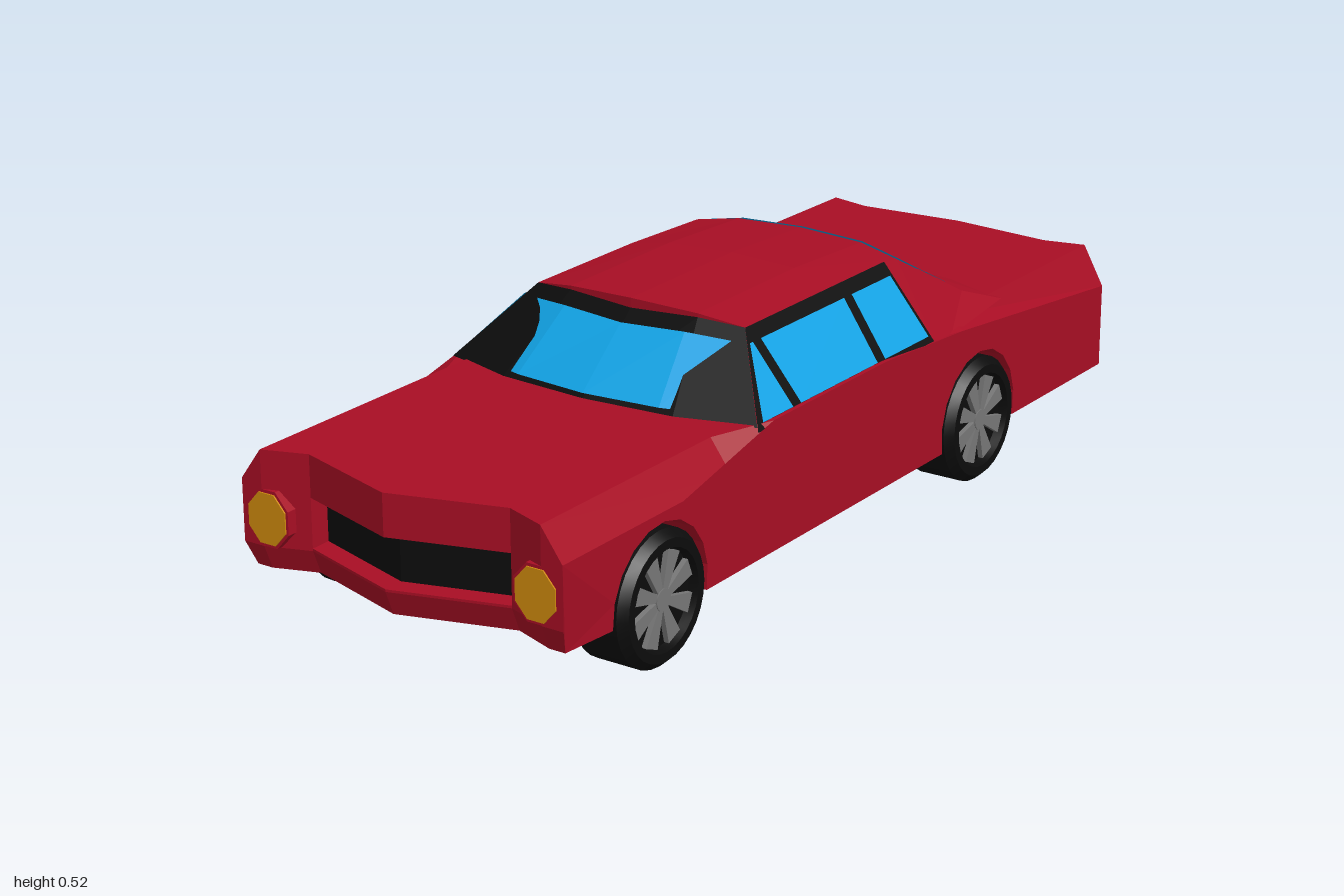
import * as THREE from 'three';
import { toCreasedNormals } from 'three/addons/utils/BufferGeometryUtils.js';

const paint = (name, color, extra = {}) => new THREE.MeshStandardMaterial({ name, color, ...extra });

// Piecewise linear lookup in [[key, value], ...] with rising keys
function lookup(table, t) {
  if (t <= table[0][0]) return table[0][1];
  for (let i = 1; i < table.length; i++) {
    const [k0, v0] = table[i - 1], [k1, v1] = table[i];
    if (t <= k1) return v0 + (v1 - v0) * (t - k0) / (k1 - k0);
  }
  return table[table.length - 1][1];
}

function fromTriangles(points) {
  const g = new THREE.BufferGeometry();
  g.setAttribute('position', new THREE.Float32BufferAttribute(points.flat(), 3));
  g.computeVertexNormals();
  return g;
}

// Sheet through half rows (centre to +x), mirrored to full width
function sheet(halfRows) {
  const rows = halfRows.map(r => [...r.slice(1).reverse().map(([x, y, z]) => [-x, y, z]), ...r]);
  const tri = [];
  for (let i = 0; i + 1 < rows.length; i++)
    for (let j = 0; j + 1 < rows[i].length; j++) {
      const a = rows[i][j], b = rows[i][j + 1], c = rows[i + 1][j + 1], d = rows[i + 1][j];
      tri.push(a, b, c, a, c, d);
    }
  return fromTriangles(tri);
}

// Flat polygon on the +x side, or its mirror image
function panel(pts, side) {
  const p = side > 0 ? pts : pts.map(([x, y, z]) => [-x, y, z]).reverse();
  const tri = [];
  for (let i = 1; i + 1 < p.length; i++) tri.push(p[0], p[i], p[i + 1]);
  return fromTriangles(tri);
}

// Part of the sheet between two rows, narrowed and lifted
function paneRows(low, high, cuts, lift) {
  return cuts.map(([v, narrow]) => low.map((p, i) => {
    const q = p.map((c, k) => c + (high[i][k] - c) * v);
    return [q[0] * narrow, q[1] + 0.004, q[2] + lift];
  }));
}

// Plan outline of nose and tail, and how far the fender edge drops
const NOSE = [[0, 0.995], [0.23, 0.925], [0.32, 0.957], [0.37, 0.957]];
const TAIL = [[0, -1], [0.23, -0.98], [0.32, -1], [0.37, -1]];
const DROP = [[-1, 0.085], [-0.4, 0.02], [-0.1, 0], [0.3, 0], [0.44, 0.065], [1, 0.065]];
const WHEELS = [0.665, -0.47];

// Lengthwise slice of the lower body between two x positions
function bodySlice(x0, x1, { arches, grille, groove }) {
  const top = [0.44, 0.3, -0.1, -0.4].map(z => [z, 0.365]);
  const pts = [[1, 0.365], ...top, [-1, 0.365]];
  if (groove) pts.push([-1, 0.285], [-0.97, 0.275], [-0.97, 0.25], [-1, 0.24]);
  pts.push([-1, 0.1]);
  const arch = (zc, yStart, yEnd) => {
    const r = 0.148, yc = 0.133;
    const a0 = Math.asin((yStart - yc) / r), a1 = Math.asin((yEnd - yc) / r);
    for (let i = 0; i <= 10; i++) {
      const a = Math.PI - a0 + (a0 + a1 - Math.PI) * i / 10;
      pts.push([zc + r * Math.cos(a), yc + r * Math.sin(a)]);
    }
  };
  if (arches) {
    arch(WHEELS[1], 0.1, 0.1);
    arch(WHEELS[0], 0.1, 0.125);
  } else pts.push([0.53, 0.1], [0.8, 0.115]);
  pts.push([0.98, 0.125], [1, 0.175]);
  if (grille) pts.push([1, 0.18], [0.95, 0.18], [0.95, 0.28], [1, 0.28]);

  const shape = new THREE.Shape(pts.map(([z, y]) => new THREE.Vector2(-z, y)));
  const g = new THREE.ExtrudeGeometry(shape, { depth: x1 - x0, bevelEnabled: false });
  g.rotateY(Math.PI / 2).translate(x0, 0, 0);
  const p = g.attributes.position;
  for (let i = 0; i < p.count; i++) {
    const x = p.getX(i), y = p.getY(i), z = p.getZ(i), ax = Math.abs(x);
    if (ax > 0.36) {
      if (y > 0.36) p.setY(i, y - lookup(DROP, z));
      if (y < 0.13 && z > 0.9) p.setX(i, Math.sign(x) * 0.355);
    }
    if (z > 0.9) p.setZ(i, z + lookup(NOSE, ax) - 1);
    if (z < -0.95) p.setZ(i, z + lookup(TAIL, ax) + 1);
  }
  g.computeVertexNormals();
  return g;
}

export function createModel() {
  const car = new THREE.Group();
  car.name = 'car';
  const red = paint('red paint', 0xa80e24);
  const black = paint('black trim', 0x0c0c0c);
  const glass = paint('blue glass', 0x11a2e4, { side: THREE.DoubleSide });
  const amber = paint('amber lamp', 0xd08a0e);
  const grey = paint('grey alloy', 0x777777);
  const add = (name, geometry, material, parent = car) => {
    const m = new THREE.Mesh(geometry, material);
    m.name = name;
    parent.add(m);
    return m;
  };

  // Lower body
  const slices = [[0, 0.23, { grille: true, groove: true }],
    [0.23, 0.32, { arches: true, groove: true }], [0.32, 0.367, { arches: true }]];
  for (const [a, b, opts] of slices) {
    add('leftBody', bodySlice(a, b, opts), red);
    add('rightBody', bodySlice(-b, -a, opts), red);
  }
  add('grille', sheet([0.18, 0.28].map(y => [[0, y, 0.951], [0.23, y, 0.881]])), black);
  add('numberPlate', new THREE.BoxGeometry(0.15, 0.045, 0.012), red).position.set(0, 0.195, -0.996);
  add('underbodySlot', new THREE.BoxGeometry(0.38, 0.006, 0.012), black).position.set(0, 0.099, -0.09);

  // Cabin rows, from windscreen base over the roof to the rear deck
  const screenBase = [[0, 0.365, 0.405], [0.2, 0.365, 0.39], [0.36, 0.362, 0.345]];
  const roofFront = [[0, 0.522, 0.245], [0.15, 0.516, 0.235], [0.245, 0.5, 0.215]];
  const screenTop = roofFront.map(([x, y, z]) => [x, y - 0.02 * (1 - x / 0.245), z]);
  const roofMid = [[0, 0.524, -0.1], [0.15, 0.518, -0.1], [0.245, 0.5, -0.1]];
  const roofBack = [[0, 0.512, -0.355], [0.15, 0.507, -0.35], [0.245, 0.492, -0.335]];
  const rearBase = [[0, 0.4, -0.54], [0.2, 0.4, -0.53], [0.3, 0.39, -0.505]];
  const deck = [[0, 0.364, -0.64], [0.2, 0.364, -0.63], [0.34, 0.355, -0.6]];
  add('windscreenFrame', sheet([screenBase, screenTop]), black);
  add('windscreen', sheet(paneRows(screenBase, screenTop, [[0.04, 0.84], [0.82, 0.89]], 0.004)), glass);
  add('roof', sheet([screenTop, roofFront, roofMid, roofBack, rearBase, deck]), red);
  add('rearWindow', sheet(paneRows(rearBase, roofBack, [[0.08, 0.95], [0.95, 0.96]], -0.003)), glass);

  // Sloping cabin sides: point at height y and length z
  const at = (y, z, out = 0) => [0.36 - (y - 0.362) * 0.833 + out, y, z];
  const pane = (z0, z1, z2, z3) =>
    [at(0.367, z0, 0.004), at(0.367, z1, 0.004), at(0.478, z2, 0.004), at(0.478, z3, 0.004)];
  const panes = [pane(0.325, 0.222, 0.222, 0.232), pane(0.195, -0.08, -0.1, 0.195),
    pane(-0.108, -0.273, -0.273, -0.128)];
  const pillarBase = [0.362, 0.345, -0.36];
  for (const side of [1, -1]) {
    const tag = side > 0 ? 'left' : 'right';
    add(tag + 'WindowFrame', panel([at(0.355, 0.35), at(0.355, -0.285), at(0.5, -0.285), at(0.5, 0.215)], side), black);
    panes.forEach(p => add(tag + 'SideWindow', panel(p, side), glass));
    add(tag + 'RearPillar', panel([at(0.355, -0.285), pillarBase, roofBack[2], at(0.5, -0.285)], side), red);
    add(tag + 'RearQuarter', panel([pillarBase, rearBase[2], roofBack[2]], side), red);
    add(tag + 'DeckCorner', panel([pillarBase, deck[2], rearBase[2]], side), red);

    // Eight-sided headlight in a red surround
    for (const [name, r, len, mat] of [['HeadlightSurround', 1.12, 0.04, red], ['Headlight', 1, 0.046, amber]]) {
      const g = new THREE.CylinderGeometry(0.054 * r, 0.054 * r, len, 8, 1).rotateY(Math.PI / 8).rotateX(Math.PI / 2);
      g.scale(0.88, 1, 1);
      add(tag + name, toCreasedNormals(g, 0.3), mat).position.set(side * 0.308, 0.232, 0.937);
    }
  }

  // Wheels with eight tapered spokes
  const tyreProfile = [[0, -0.065], [0.118, -0.065], [0.133, -0.048], [0.133, 0.048], [0.118, 0.065],
    [0.1, 0.065], [0.096, 0.045], [0, 0.045]].map(p => new THREE.Vector2(...p));
  const tyre = toCreasedNormals(new THREE.LatheGeometry(tyreProfile, 28).rotateZ(-Math.PI / 2), 0.6);
  const spokeShape = new THREE.Shape([[-0.007, 0.015], [0.007, 0.015], [0.019, 0.092], [-0.019, 0.092]]
    .map(p => new THREE.Vector2(...p)));
  const spoke = new THREE.ExtrudeGeometry(spokeShape, { depth: 0.012, bevelEnabled: false }).rotateY(Math.PI / 2);
  const hub = new THREE.CylinderGeometry(0.022, 0.022, 0.014, 12).rotateZ(Math.PI / 2);
  for (const z of WHEELS)
    for (const side of [1, -1]) {
      const wheel = new THREE.Group();
      wheel.name = (z > 0 ? 'front' : 'rear') + (side > 0 ? 'Left' : 'Right') + 'Wheel';
      add('tyre', tyre, black, wheel);
      add('hub', hub, grey, wheel).position.x = 0.051;
      for (let i = 0; i < 8; i++) {
        const s = add('spoke', spoke, grey, wheel);
        s.position.x = 0.044;
        s.rotation.x = (i + 0.5) * Math.PI / 4;
      }
      wheel.position.set(side * 0.315, 0.133, z);
      if (side < 0) wheel.rotation.y = Math.PI;
      car.add(wheel);
    }
  return car;
}
